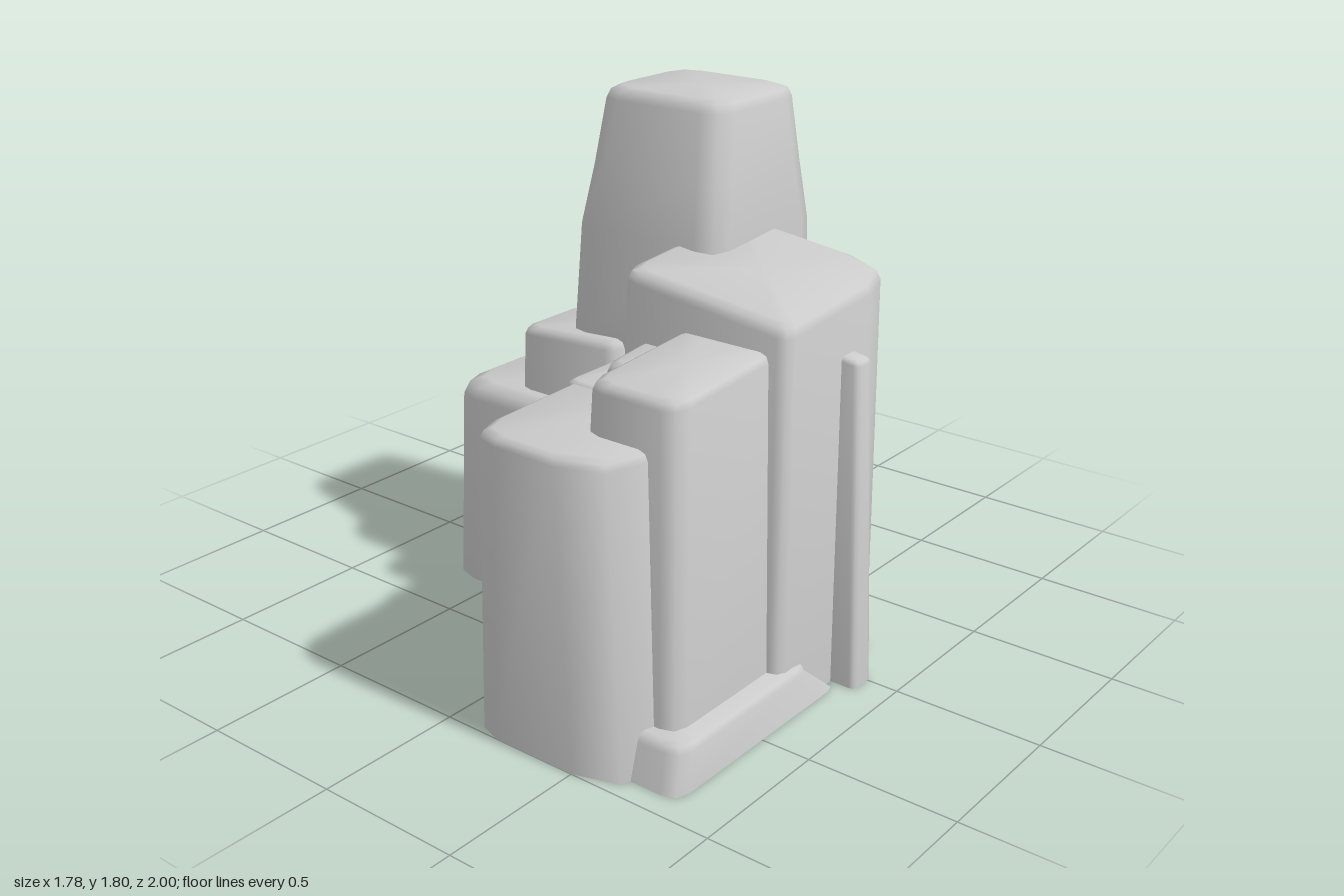
import * as THREE from 'three';
import { toCreasedNormals } from 'three/addons/utils/BufferGeometryUtils.js';

const material = new THREE.MeshStandardMaterial({ color: 0xcccccc });

// Rounded-corner outline of a rectangle; r = radii of front-left, front-right, back-right, back-left
function outline([x0, x1, z0, z1], r) {
  const corners = [[x0, z1, 0, -1, 1, 0], [x1, z1, -1, 0, 0, -1], [x1, z0, 0, 1, -1, 0], [x0, z0, 1, 0, 0, 1]];
  const limit = Math.min(x1 - x0, z1 - z0) * 0.48;
  const pts = [];
  corners.forEach(([x, z, ax, az, bx, bz], i) => {
    const k = Math.min(r[i], limit);
    for (const t of [0, 0.5, 1]) {
      const a = (1 - t) ** 2 * k, b = t * t * k;
      pts.push([x + ax * a + bx * b, z + az * a + bz * b]);
    }
  });
  return pts;
}

// Rock lofted through levels [y, x0, x1, z0, z1], with a softened and optionally tilted top
function rock(name, levels, { r = 0.07, bevel = 0.05, sx = 0, sz = 0 } = {}) {
  const radii = Array.isArray(r) ? r : [r, r, r, r];
  const top = levels[levels.length - 1];
  const [h, x0, x1, z0, z1] = top;
  const shrink = (y, d) => [y, x0 + d, x1 - d, z0 + d, z1 - d];
  const all = [...levels.slice(0, -1), shrink(h - bevel, 0), shrink(h - bevel * 0.3, bevel * 0.25), shrink(h, bevel * 0.85)];
  const cx = (x0 + x1) / 2, cz = (z0 + z1) / 2;
  const tilt = (x, y, z) => [x, y + (y / h) * (sx * (x - cx) + sz * (z - cz)), z];
  const rings = all.map(([y, ...rect]) => outline(rect, radii).map(([x, z]) => tilt(x, y, z)));
  const n = rings[0].length, pos = rings.flat(2), index = [];
  for (let j = 0; j < rings.length - 1; j++) {
    for (let i = 0; i < n; i++) {
      const a = j * n + i, b = j * n + (i + 1) % n;
      index.push(a, b, b + n, a, b + n, a + n);
    }
  }
  // bottom and top caps
  const low = pos.length / 3, high = low + 1, last = (rings.length - 1) * n;
  const base = levels[0];
  pos.push((base[1] + base[2]) / 2, base[0], (base[3] + base[4]) / 2, cx, h, cz);
  for (let i = 0; i < n; i++) {
    const k = (i + 1) % n;
    index.push(low, k, i, high, last + i, last + k);
  }
  const geo = new THREE.BufferGeometry();
  geo.setAttribute('position', new THREE.Float32BufferAttribute(pos, 3));
  geo.setIndex(index);
  const mesh = new THREE.Mesh(toCreasedNormals(geo, 1.0), material);
  mesh.name = name;
  return mesh;
}

export function createModel() {
  const group = new THREE.Group();
  group.name = 'rockFormation';
  const add = (...args) => group.add(rock(...args));

  // main spire
  add('spire', [
    [0, -0.27, 0.35, -0.47, 0.16],
    [1.0, -0.25, 0.35, -0.45, 0.14],
    [1.36, -0.225, 0.35, -0.43, 0.13],
    [1.55, -0.21, 0.32, -0.42, 0.08],
    [1.8, -0.2, 0.29, -0.41, 0.03],
  ], { r: 0.08, bevel: 0.04 });

  // broad shoulder beside the spire
  add('shoulder', [[0, 0.12, 0.8, -0.24, 0.38], [1.33, 0.18, 0.795, -0.23, 0.37]],
    { r: [0.05, 0.04, 0.16, 0.05], bevel: 0.04, sx: -0.12, sz: -0.08 });

  // stepped front buttress
  add('frontButtress', [[0, 0.1, 0.7, 0.2, 1.0], [1.0, 0.11, 0.64, 0.2, 0.985]],
    { r: [0.1, 0.2, 0.05, 0.05], bevel: 0.03, sz: -0.03 });
  add('buttressRidge', [[0, 0.1, 0.26, 0.12, 0.6], [1.01, 0.1, 0.25, 0.13, 0.55]], { r: 0.03, bevel: 0.02 });
  add('buttressCrown', [[0, 0.35, 0.76, 0.3, 0.84], [1.17, 0.4, 0.73, 0.3, 0.8]],
    { r: 0.06, bevel: 0.03, sz: -0.07 });
  add('buttressStep', [[0, 0.22, 0.5, 0.3, 0.58], [1.11, 0.25, 0.5, 0.3, 0.54]], { r: 0.03, bevel: 0.03, sz: -0.1 });
  add('buttressFoot', [[0, 0.3, 0.83, 0.1, 0.92], [0.15, 0.3, 0.82, 0.24, 0.89]],
    { r: [0.05, 0.06, 0.04, 0.04], bevel: 0.03 });

  // steps descending on the left
  add('upperLeftStep', [[0, -0.45, 0.1, -0.15, 0.21], [0.99, -0.42, 0, -0.13, 0.19]],
    { r: 0.05, bevel: 0.03, sx: 0.06 });
  add('middleTerrace', [[0, -0.7, 0.24, -0.62, 0.28], [0.755, -0.67, 0.18, -0.61, 0.27]],
    { r: [0.1, 0.04, 0.05, 0.08], bevel: 0.06 });
  add('frontLeftStep', [[0, -0.245, 0.2, 0.1, 0.52], [0.56, -0.235, 0.2, 0.1, 0.51]],
    { r: [0.09, 0.03, 0.03, 0.03], bevel: 0.04, sx: 0.05 });
  add('lowerLeftStep', [[0, -0.8, -0.3, -0.74, 0.02], [0.59, -0.78, -0.49, -0.72, 0]],
    { r: 0.05, bevel: 0.03, sx: 0.05 });

  // narrow ledges stepping down the back: [x0, x1, z0, height]
  [[-0.39, -0.07, -0.78, 0.64], [-0.36, 0.03, -0.7, 0.69]].forEach(([x0, x1, z, h], i) =>
    add('backLedge' + (i + 1), [[0, x0 - 0.02, x1 + 0.02, z - 0.01, -0.3], [h, x0, x1, z, -0.3]],
      { r: 0.05, bevel: 0.03, sz: 0.04 }));

  // low base shelf at the back
  add('baseShelf', [[0, -0.895, -0.16, -1.0, 0.055], [0.37, -0.87, -0.18, -0.97, 0.04]],
    { r: [0.1, 0.04, 0.04, 0.08], bevel: 0.05, sz: 0.03 });
  add('baseShelfRight', [[0, -0.3, 0.305, -0.89, -0.2], [0.35, -0.3, 0.29, -0.88, -0.2]],
    { r: 0.05, bevel: 0.03, sz: 0.05 });

  // thin upright slabs on the right side
  add('sideSlab', [[0, 0.7, 0.89, -0.02, 0.08], [1.11, 0.7, 0.855, 0.0, 0.08]],
    { r: 0.02, bevel: 0.015, sx: -0.15 });
  add('rearSlab', [[0, 0.3, 0.47, -0.32, -0.15], [0.91, 0.3, 0.48, -0.355, -0.15]],
    { r: 0.02, bevel: 0.015 });

  return group;
}
